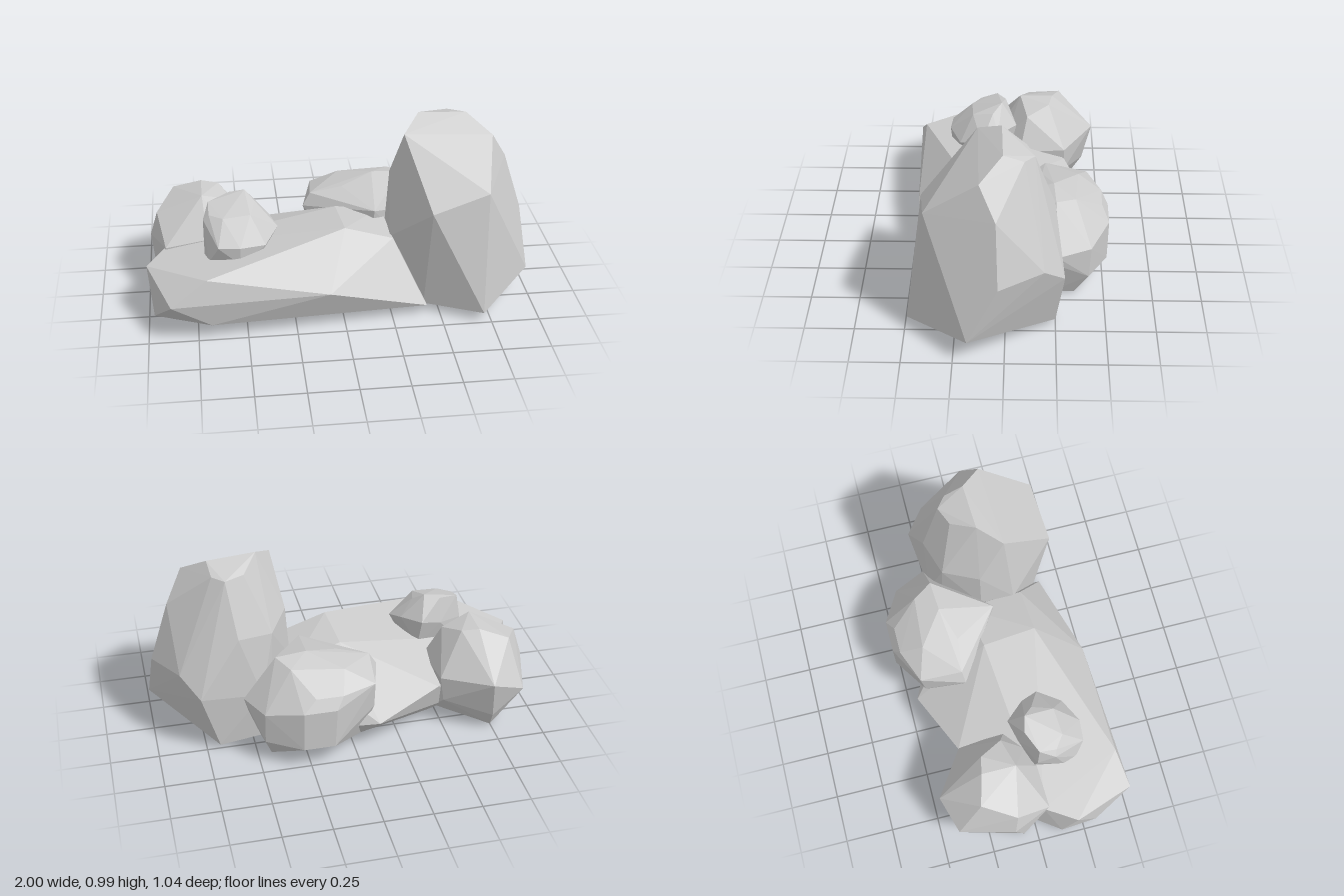
import * as THREE from 'three';
import { ConvexGeometry } from 'three/addons/geometries/ConvexGeometry.js';

// Corner points of each faceted boulder
const rocks = {
  slabRock: [
    // top and front
    [-1, .275, .2], [-.88, .21, .52], [-.7, .335, .48], [-.08, .215, .485], [.02, .45, .23], [.27, .37, .22],
    [-.9, .29, .04], [0, .43, -.05], [-.47, .25, -.31], [-.12, .17, -.455], [.25, .38, -.1],
    // sloping base
    [-.68, .08, .49], [-.97, .05, .32], [-.98, .03, .13], [.43, .05, .38], [.43, .04, .3],
    [-.85, .03, -.05], [-.45, .03, -.2], [-.05, .03, -.32], [.45, .03, -.22],
  ],
  tallRock: [
    // crown
    [.42, .985, .02], [.67, .97, .01], [.66, .93, -.09], [.6, .925, -.14], [.5, .93, -.1], [.33, .92, .14],
    [.79, .885, .12],
    // shoulders
    [.44, .6, .42], [.73, .685, .39], [.88, .73, .04], [.68, .62, -.18], [.56, .64, -.24], [.38, .62, -.18],
    [.28, .65, 0],
    // waist and base
    [.98, .42, .03], [.86, .44, -.19], [.77, .34, -.29], [.26, .36, .18], [.26, .36, 0], [.45, .3, -.25],
    [1, .125, .18], [.71, .05, .49], [.42, .04, .34], [.68, .02, -.25], [.4, .02, -.2],
  ],
  backRock: [
    // top
    [-.12, .44, -.2], [-.1, .4, -.42], [.05, .48, -.37], [.05, .48, -.18], [.22, .53, -.24], [.38, .52, -.25],
    [.32, .5, -.35], [.2, .44, .05], [.08, .4, -.49], [.22, .4, -.49],
    // sides
    [.12, .34, -.525], [.29, .34, -.525], [.47, .3, -.43], [.55, .3, -.26], [.53, .23, -.28],
    [.13, .12, -.52], [.29, .12, -.52], [.47, .13, -.42], [-.16, .37, -.19], [-.1, .25, -.4],
    // base
    [.43, .005, -.35], [.3, .01, -.31], [-.05, .03, -.32], [.46, .02, -.22], [.15, .03, 0], [-.08, .1, -.2],
  ],
  cornerRock: [
    // top
    [-.94, .42, -.11], [-.85, .48, -.28], [-.7, .53, -.24], [-.61, .52, -.22], [-.54, .48, -.1], [-.7, .53, -.06],
    // sides
    [-.98, .28, -.13], [-.9, .24, -.41], [-.72, .32, -.47], [-.48, .3, -.31], [-.455, .3, -.06],
    [-.9, .3, .07], [-.68, .33, .06], [-.57, .33, .02], [-.74, .1, -.42], [-.5, .16, -.31],
    // base
    [-.75, 0, -.36], [-.95, .03, -.07], [-.85, .03, .05], [-.49, .04, -.18], [-.5, .03, 0],
  ],
  smallRock: [
    [-.67, .56, .07], [-.56, .585, .02], [-.48, .605, .04], [-.43, .56, .09], [-.46, .54, .2], [-.6, .53, .21],
    [-.67, .53, .16], [-.7, .5, .15], [-.69, .43, .06], [-.56, .45, -.01], [-.45, .48, -.04], [-.36, .47, .06],
    [-.32, .44, .15], [-.39, .4, .27], [-.52, .42, .33], [-.63, .42, .32],
    [-.7, .33, .2], [-.68, .32, .27], [-.52, .32, .32], [-.42, .34, .27], [-.37, .34, .14], [-.44, .32, 0],
    [-.67, .32, .05],
  ],
};

export function createModel() {
  const group = new THREE.Group();
  group.name = 'rockCluster';
  const stone = new THREE.MeshStandardMaterial({ color: 0xcccccc });
  stone.name = 'greyStone';

  // One faceted hull per boulder
  for (const [name, points] of Object.entries(rocks)) {
    const hull = new ConvexGeometry(points.map((p) => new THREE.Vector3(...p)));
    const mesh = new THREE.Mesh(hull, stone);
    mesh.name = name;
    group.add(mesh);
  }
  return group;
}
